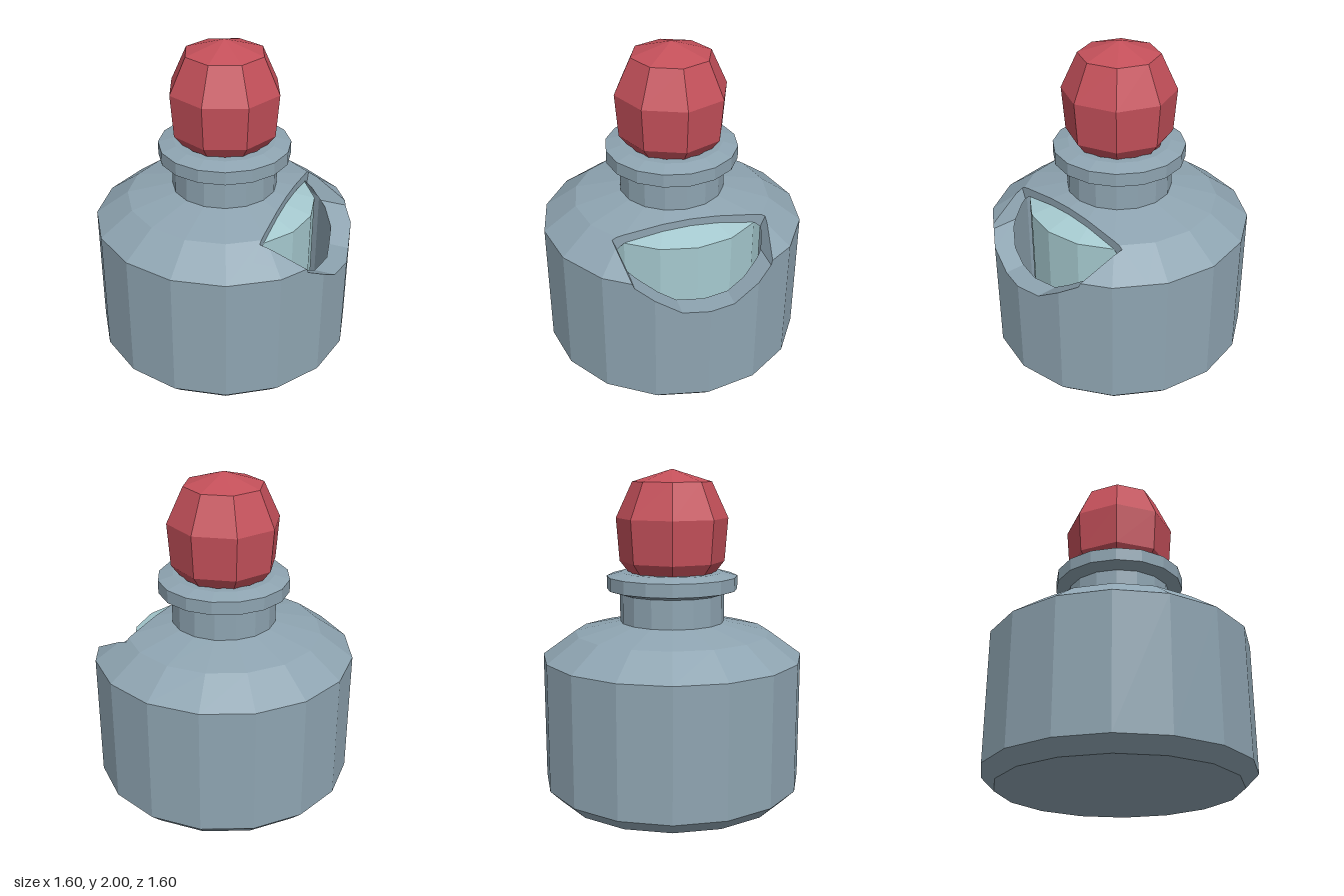
import * as THREE from 'three';

const SIDES = 16;
const glass = new THREE.MeshStandardMaterial({ name: 'blue grey glass', color: 0x8ea4b1 });
const liquidMat = new THREE.MeshStandardMaterial({ name: 'pale teal', color: 0xa6cad0 });
const red = new THREE.MeshStandardMaterial({ name: 'red', color: 0xc4505a });
for (const m of [glass, liquidMat, red]) m.name = m.name;

const V = (x, y, z) => new THREE.Vector3(x, y, z);

// Flat shaded geometry from a list of convex polygons
function polysToGeometry(polys) {
  const pos = [];
  for (const p of polys) {
    for (let i = 1; i < p.length - 1; i++) {
      const tri = new THREE.Triangle(p[0], p[i], p[i + 1]);
      if (tri.getArea() < 1e-9) continue;
      for (const v of [tri.a, tri.b, tri.c]) pos.push(v.x, v.y, v.z);
    }
  }
  const g = new THREE.BufferGeometry();
  g.setAttribute('position', new THREE.Float32BufferAttribute(pos, 3));
  g.computeVertexNormals();
  return g;
}

// Faces of a turned shape; the profile runs from bottom to top
function turnedPolys(profile, sides = SIDES) {
  const polys = [];
  const at = ([r, y], i) => {
    const a = (i / sides) * Math.PI * 2;
    return V(r * Math.sin(a), y, r * Math.cos(a));
  };
  for (let k = 0; k < profile.length - 1; k++) {
    for (let i = 0; i < sides; i++) {
      polys.push([at(profile[k], i), at(profile[k], i + 1), at(profile[k + 1], i + 1), at(profile[k + 1], i)]);
    }
  }
  return polys;
}

// Outward planes of a convex turned shape
function turnedPlanes(profile) {
  const planes = [], c = Math.cos(Math.PI / SIDES);
  for (let k = 0; k < profile.length - 1; k++) {
    const [r1, y1] = profile[k], [r2, y2] = profile[k + 1];
    for (let i = 0; i < SIDES; i++) {
      const a = ((i + 0.5) / SIDES) * Math.PI * 2, s = Math.sin(a), t = Math.cos(a);
      const n = V((y2 - y1) * s, -(r2 - r1) * c, (y2 - y1) * t).normalize();
      planes.push(new THREE.Plane().setFromNormalAndCoplanarPoint(n, V(r1 * c * s, y1, r1 * c * t)));
    }
  }
  return planes;
}

// Split a polygon into pieces outside a convex region and the piece inside it
function splitByRegion(poly, planes) {
  const outside = [];
  for (const plane of planes) {
    const out = [], inn = [];
    poly.forEach((p, i) => {
      const q = poly[(i + 1) % poly.length];
      const d = plane.distanceToPoint(p), e = plane.distanceToPoint(q);
      if (d >= -1e-7) out.push(p);
      if (d <= 1e-7) inn.push(p);
      if ((d > 1e-7 && e < -1e-7) || (d < -1e-7 && e > 1e-7)) {
        const m = p.clone().lerp(q, d / (d - e));
        out.push(m);
        inn.push(m);
      }
    });
    if (out.length > 2) outside.push(out);
    poly = inn;
    if (poly.length < 3) return { outside, inside: null };
  }
  return { outside, inside: poly };
}

export function createModel() {
  const model = new THREE.Group();
  model.name = 'bottle';
  const add = (name, polys, material) => {
    const mesh = new THREE.Mesh(polysToGeometry(polys), material);
    mesh.name = name;
    model.add(mesh);
  };

  const outer = [[0, 0], [0.72, 0], [0.8, 0.08], [0.8, 0.87], [0.6, 1.015], [0.32, 1.08], [0, 1.08]];
  const inner = [[0, 0.08], [0.64, 0.08], [0.675, 0.14], [0.675, 0.82], [0.6, 0.93],
    [0.56, 0.97], [0.4, 1.015], [0.3, 1.043], [0, 1.043]];

  // Opening in the shoulder: lower half of a ten-sided prism along x, starting at x = 0.4
  const cutX = 0.4;
  const rim = [-90, -54, -18, 18, 54, 90].map((deg) => {
    const a = THREE.MathUtils.degToRad(deg);
    return { z: 0.5 * Math.sin(a), y: 1.09 - 0.42 * Math.cos(a) };
  });
  const cutter = [new THREE.Plane(V(-1, 0, 0), cutX)];
  const cutFaces = [rim.map((p) => V(cutX, p.y, p.z)).reverse()];
  for (let i = 0; i < rim.length - 1; i++) {
    const p = rim[i], q = rim[i + 1];
    const n = V(0, -(q.z - p.z), q.y - p.y).normalize();
    cutter.push(new THREE.Plane().setFromNormalAndCoplanarPoint(n, V(0, p.y, p.z)));
    cutFaces.push([V(cutX, p.y, p.z), V(cutX, q.y, q.z), V(1, q.y, q.z), V(1, p.y, p.z)]);
  }
  const cutAway = (polys) => polys.flatMap((p) => splitByRegion(p, cutter).outside);

  // Glass shell, outside and inside
  add('bodyOuter', cutAway(turnedPolys(outer)), glass);
  add('bodyInner', cutAway(turnedPolys(inner)).map((p) => p.slice().reverse()), glass);

  // Thickness of the glass around the opening
  const outerPlanes = turnedPlanes(outer), innerPlanes = turnedPlanes(inner);
  const edges = cutFaces
    .map((f) => splitByRegion(f, outerPlanes).inside)
    .filter(Boolean)
    .flatMap((f) => splitByRegion(f, innerPlanes).outside);
  add('openingEdge', edges, glass);

  // Liquid inside
  add('liquid', turnedPolys([[0, 0.09], [0.56, 0.09], [0.56, 0.965], [0.3, 1.037], [0, 1.037]]), liquidMat);

  // Neck and collar
  add('neck', turnedPolys([[0.32, 1.07], [0.32, 1.255], [0.4, 1.28], [0.4, 1.36],
    [0.31, 1.385], [0.26, 1.385], [0.24, 1.3], [0, 1.3]]), glass);

  // Faceted stopper
  add('stopper', turnedPolys([[0, 1.29], [0.22, 1.29], [0.27, 1.385], [0.32, 1.45],
    [0.34, 1.71], [0.24, 1.925], [0, 2]], 8), red);

  return model;
}
